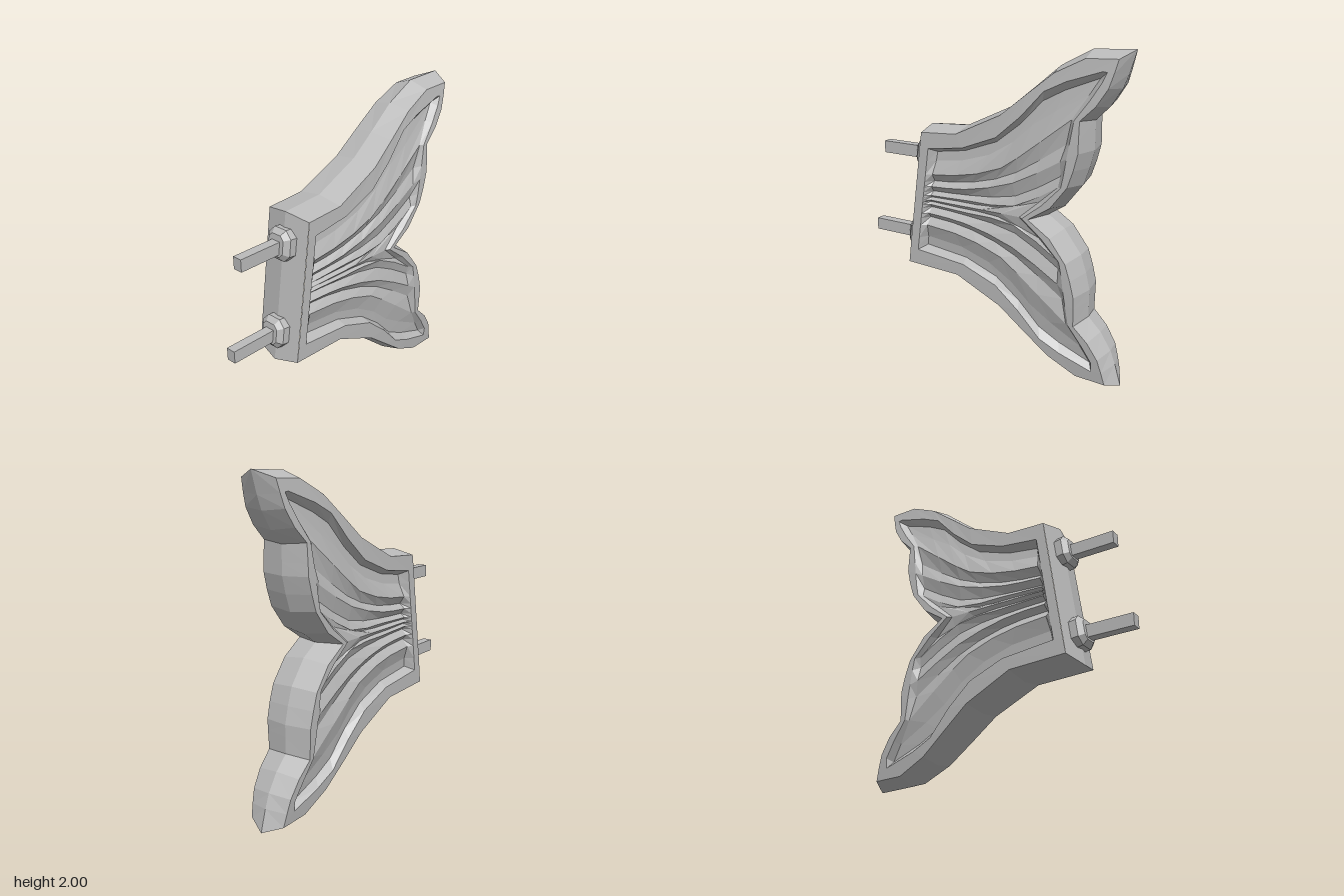
import * as THREE from 'three';

// Points are [z, y] of the upper lobe; the lower lobe mirrors them about y = 1.
const RIM_OUTER = [[0.42, 1.437], [0.167, 1.453], [-0.14, 1.597], [-0.3, 1.725], [-0.47, 1.86], [-0.655, 1.95], [-0.845, 1.957]];
const RIM_INNER = [[0.37, 1.34], [0.12, 1.374], [-0.114, 1.464], [-0.273, 1.6], [-0.416, 1.756], [-0.55, 1.82], [-0.76, 1.888]];
const RIB_HIGH = [[0.355, 1.17], [0.12, 1.2], [-0.14, 1.28], [-0.31, 1.4], [-0.59, 1.615]];
const RIB_MID = [[0.37, 1.09], [0.12, 1.11], [-0.22, 1.2], [-0.53, 1.37]];
const RIB_LOW = [[0.38, 1.03], [0.1, 1.04], [-0.23, 1.06], [-0.52, 1.22]];
const RIB_CENTRE = [[0.4, 1], [-0.27, 1]];

// Trailing edge from the tip to the notch, one point for each row
const TRAILING = [
  [-0.845, 1.957], [-0.825, 1.88], [-0.8, 1.8], [-0.735, 1.7], [-0.645, 1.613], [-0.645, 1.5],
  [-0.645, 1.43], [-0.62, 1.33], [-0.586, 1.23], [-0.48, 1.093], [-0.337, 1],
];

// Each row lies between two lines (share t of the way) at a height against the rim
const ROWS = [
  { from: RIM_OUTER, to: RIM_OUTER, t: 0, height: 0 },
  { from: RIM_INNER, to: RIM_INNER, t: 0, height: 0 },
  { from: RIM_INNER, to: RIB_HIGH, t: 0.15, height: -0.06 },
  { from: RIM_INNER, to: RIB_HIGH, t: 0.5, height: -0.055 },
  { from: RIB_HIGH, to: RIB_HIGH, t: 0, height: -0.025 },
  { from: RIB_HIGH, to: RIB_MID, t: 0.6, height: -0.06 },
  { from: RIB_MID, to: RIB_MID, t: 0, height: -0.028 },
  { from: RIB_MID, to: RIB_LOW, t: 0.6, height: -0.06 },
  { from: RIB_LOW, to: RIB_LOW, t: 0, height: -0.032 },
  { from: RIB_LOW, to: RIB_CENTRE, t: 0.5, height: -0.05 },
  { from: RIB_CENTRE, to: RIB_CENTRE, t: 0, height: -0.03 },
];

// Slanted front lines of the frame
const frontOuter = (y) => 0.42 + (1.437 - y) * 0.14;
const frontInner = (y) => 0.37 + (1.34 - y) * 0.144;

// Half thickness, thinner towards the tips
function halfWidth(y) {
  const t = Math.max(0, (Math.abs(y - 1) - 0.3) / 0.65);
  return 0.162 - 0.042 * t * t;
}

// Seven points along a line
function sample(line) {
  const curve = new THREE.CatmullRomCurve3(line.map(([z, y]) => new THREE.Vector3(0, y, z)));
  return Array.from({ length: 7 }, (_, i) => curve.getPoint(i / 6));
}

function triangles(list) {
  const geometry = new THREE.BufferGeometry();
  geometry.setAttribute('position', new THREE.Float32BufferAttribute(list, 3));
  geometry.computeVertexNormals();
  return geometry;
}

// a to b goes across, a to c goes along
function quad(out, a, b, c, d, side) {
  const order = side > 0 ? [a, b, c, b, d, c] : [a, c, b, b, c, d];
  for (const p of order) out.push(...p);
}

// One row of the panel, from the front frame to the trailing rim band
function buildRow(index, lower, side) {
  const { from, to, t, height } = ROWS[index];
  const flip = (y) => (lower ? 2 - y : y);
  const point = (z, y, h) => [side * (halfWidth(y) + h), y, z];
  const b = sample(to);
  const line = sample(from).map((p, i) => p.lerp(b[i], t));
  const y0 = flip(line[0].y);
  const inner = index === 0 ? frontOuter(y0) : frontInner(y0);
  const points = [point(frontOuter(y0), y0, 0), point(inner, y0, 0)];
  line.forEach((p, i) => {
    const frontZ = height === 0 ? inner : inner - 0.035;
    points.push(point(i === 0 ? frontZ : p.z, flip(p.y), height * (1 - 0.06 * i)));
  });
  const [endZ, endY] = TRAILING[index];
  const last = line[6];
  points.push(point(last.z + (endZ - last.z) * 0.4, flip(last.y + (endY - last.y) * 0.4), 0));
  points.push(point(endZ, flip(endY), 0));
  return points;
}

function panelGeometry(side) {
  const rows = ROWS.map((_, i) => buildRow(i, false, side));
  for (let i = ROWS.length - 2; i >= 0; i--) rows.push(buildRow(i, true, side));
  const out = [];
  for (let r = 0; r < rows.length - 1; r++) {
    for (let c = 0; c < rows[r].length - 1; c++) {
      quad(out, rows[r][c], rows[r + 1][c], rows[r][c + 1], rows[r + 1][c + 1], side);
    }
  }
  return triangles(out);
}

// Moves a closed loop outwards along its mitred corners
function offsetLoop(loop) {
  const normal = (a, b) => new THREE.Vector2(b[1] - a[1], a[0] - b[0]).normalize();
  return loop.map((p, i) => {
    const before = normal(loop.at(i - 1), p);
    const after = normal(p, loop[(i + 1) % loop.length]);
    const distance = 0.03 + 0.075 * Math.max(0, Math.abs(p[1] - 1) - 0.8);
    const move = before.clone().add(after).multiplyScalar(distance / (1 + before.dot(after)));
    return [p[0] + move.x, p[1] + move.y];
  });
}

// Thick edge all round, folded along the centre plane
function edgeGeometry() {
  const upper = [...RIM_OUTER, ...TRAILING.slice(1)];
  const lower = upper.slice(0, -1).reverse().map(([z, y]) => [z, 2 - y]);
  const corner = lower.at(-1);
  corner[0] = frontOuter(corner[1]);
  const rim = [...upper, ...lower];
  const ridge = offsetLoop(rim);
  const out = [];
  for (const side of [1, -1]) {
    const edge = ([z, y]) => [side * halfWidth(y), y, z];
    const fold = ([z, y]) => [0, y, z];
    for (let i = 0; i < rim.length; i++) {
      const j = (i + 1) % rim.length;
      // across runs along the loop, along runs towards the fold
      quad(out, edge(rim[i]), edge(rim[j]), fold(ridge[i]), fold(ridge[j]), side);
    }
  }
  return triangles(out);
}

// Chamfered socket block
function socketGeometry() {
  const w = 0.058, h = 0.065, c = 0.025;
  const shape = new THREE.Shape();
  shape.moveTo(-w + c, -h).lineTo(w - c, -h).lineTo(w, -h + c).lineTo(w, h - c);
  shape.lineTo(w - c, h).lineTo(-w + c, h).lineTo(-w, h - c).lineTo(-w, -h + c);
  return new THREE.ExtrudeGeometry(shape, {
    depth: 0.06, bevelEnabled: true, bevelSize: 0.03, bevelThickness: 0.03, bevelSegments: 1,
  });
}

export function createModel() {
  const group = new THREE.Group();
  const grey = new THREE.MeshStandardMaterial({ color: 0xbbbbbb, flatShading: true });
  grey.name = 'plain grey';

  const add = (name, geometry) => {
    const mesh = new THREE.Mesh(geometry, grey);
    mesh.name = name;
    group.add(mesh);
    return mesh;
  };

  add('leftRibbedPanel', panelGeometry(1));
  add('rightRibbedPanel', panelGeometry(-1));
  add('outerEdge', edgeGeometry());

  // Mounting sockets and pegs on the front
  for (const [name, y, tip] of [['upper', 1.275, 0.815], ['lower', 0.725, 0.905]]) {
    const socket = add(name + 'Socket', socketGeometry());
    socket.position.set(0, y, frontOuter(y));
    socket.rotation.x = -0.13;
    const length = 0.4;
    const peg = add(name + 'Peg', new THREE.BoxGeometry(0.062, 0.078, length));
    peg.position.set(0, y, tip - length / 2);
  }
  return group;
}
